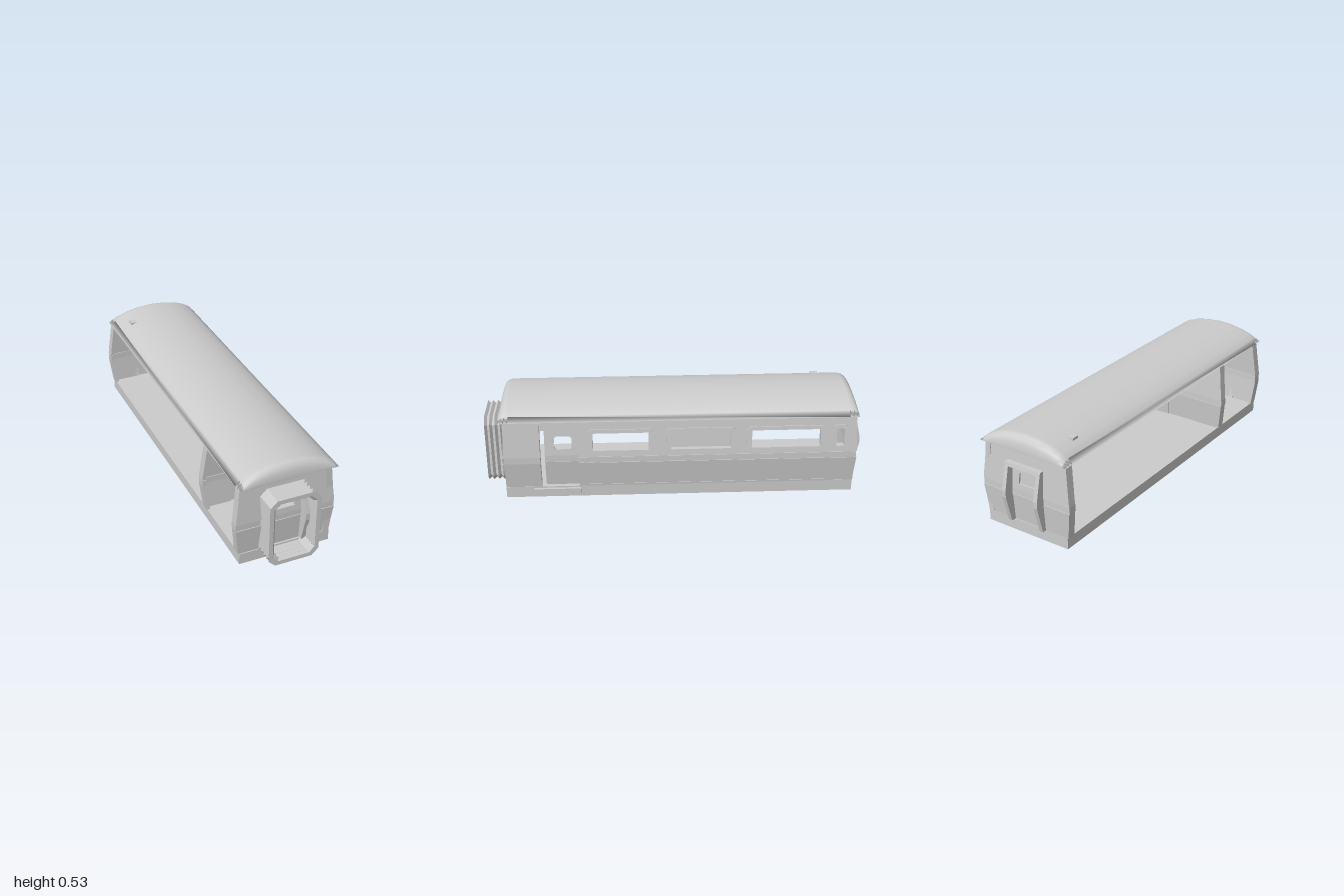
import * as THREE from 'three';
import { mergeGeometries } from 'three/addons/utils/BufferGeometryUtils.js';

const grey = new THREE.MeshStandardMaterial({ color: 0xcccccc, side: THREE.DoubleSide });

// Outward bulge of every wall by height
const PROFILE = [[0.06, 0], [0.205, 0.018], [0.24, 0.018], [0.445, -0.005]];
const STRIPS = [[0.06, 0.205], [0.205, 0.24], [0.24, 0.445]];
function bulge(y) {
  for (let i = 1; i < PROFILE.length; i++) {
    const [y0, b0] = PROFILE[i - 1], [y1, b1] = PROFILE[i];
    if (y <= y1) return b0 + (b1 - b0) * Math.max(0, (y - y0) / (y1 - y0));
  }
  return PROFILE[3][1];
}

function add(parent, name, geometry) {
  const m = new THREE.Mesh(geometry, grey);
  m.name = name;
  parent.add(m);
  return m;
}

function box(parent, name, x0, x1, y0, y1, z0, z1) {
  const g = new THREE.BoxGeometry(x1 - x0, y1 - y0, z1 - z0);
  g.translate((x0 + x1) / 2, (y0 + y1) / 2, (z0 + z1) / 2);
  return add(parent, name, g);
}

const polygon = pts => new THREE.Shape(pts.map(p => new THREE.Vector2(...p)));
const rect = (u0, u1, y0, y1) => [[u0, y0], [u1, y0], [u1, y1], [u0, y1]];
const octagon = (u0, u1, y0, y1, c) => [[u0 + c, y0], [u1 - c, y0], [u1, y0 + c], [u1, y1 - c],
  [u1 - c, y1], [u0 + c, y1], [u0, y1 - c], [u0, y0 + c]];

// Slab whose outer face lies at off and leans with the wall profile
function slab(shape, t, off, k) {
  const g = new THREE.ExtrudeGeometry(shape, { depth: t, bevelEnabled: false });
  const p = g.attributes.position;
  for (let i = 0; i < p.count; i++) p.setZ(i, p.getZ(i) - t + off + k * bulge(p.getY(i)));
  g.computeVertexNormals();
  return g;
}

// Upright panel made of lower, belt and upper strips; edges may vary with height
function panel(parent, name, u0, u1, { bottom = 0.06, top = 0.445, t = 0.025, off = 0, k = 1, holes = [], belt = 0.004 } = {}) {
  const f = (e, y) => (typeof e === 'function' ? e(y) : e);
  const parts = [];
  STRIPS.forEach(([a, b], i) => {
    const y0 = Math.max(a, bottom), y1 = Math.min(b, top);
    if (y1 <= y0) return;
    const s = polygon([[f(u0, y0), y0], [f(u1, y0), y0], [f(u1, y1), y1], [f(u0, y1), y1]]);
    if (i === 2) holes.forEach(h => s.holes.push(polygon(h)));
    parts.push(slab(s, t, off - (i === 1 ? belt : 0), k));
  });
  return add(parent, name, mergeGeometries(parts));
}

// Surface through a list of closed loops of points
function loft(loops, wrap) {
  const n = loops[0].length, idx = [], rows = wrap ? loops.length : loops.length - 1;
  for (let r = 0; r < rows; r++) for (let i = 0; i < n; i++) {
    const j = (i + 1) % n, q = ((r + 1) % loops.length) * n, p = r * n;
    idx.push(p + i, p + j, q + j, p + i, q + j, q + i);
  }
  const g = new THREE.BufferGeometry();
  g.setAttribute('position', new THREE.Float32BufferAttribute(loops.flat(2), 3));
  g.setIndex(idx);
  return g;
}

// Cross wall with a doorway; s = 1 faces the front, s = -1 the back
function crossWall(name, z, s, windowOpen) {
  const g = new THREE.Group();
  g.name = name;
  g.position.z = z;
  if (s < 0) g.rotation.y = Math.PI;
  const lo = y => -(0.25 + bulge(y)), hi = y => 0.24 + bulge(y);
  const left = s > 0 ? lo : y => -hi(y), right = s > 0 ? hi : y => -lo(y);
  const c = -0.007 * s, w = 0.097, k = 0.6;
  panel(g, 'wallLeft', left, c - w, { k });
  panel(g, 'wallRight', c + w, right, { k });
  panel(g, 'wallHeader', c - w, c + w, { bottom: 0.38, k });
  // Thick rim along the open side
  if (s > 0) panel(g, 'openEdgeRim', left, y => left(y) + 0.02, { t: 0.045, off: -0.001, k });
  else panel(g, 'openEdgeRim', y => right(y) - 0.02, right, { t: 0.045, off: -0.001, k });
  // Door leaf
  const win = [[c - 0.045, 0.27], [c + 0.052, 0.27], [c + 0.048, 0.33], [c - 0.041, 0.33]];
  panel(g, 'door', c - w, c + w, { top: 0.38, t: 0.014, off: -0.005, k, holes: [win] });
  if (!windowOpen) add(g, 'doorPane', slab(polygon(win), 0.004, -0.014, k));
  return g;
}

// Bowed frame around an end door
function doorFrame(g, s) {
  const c = -0.007 * s, o = { top: 0.385, t: 0.05, off: 0.022, k: 2, belt: 0 };
  panel(g, 'doorPostLeft', c - 0.107, c - 0.085, o);
  panel(g, 'doorPostRight', c + 0.085, c + 0.107, o);
  panel(g, 'doorLintel', c - 0.085, c + 0.085, { ...o, bottom: 0.365 });
}

export function createModel() {
  const root = new THREE.Group();
  root.name = 'carriage';
  box(root, 'floorBase', -0.245, 0.242, 0, 0.06, -0.945, 0.893);

  // Roof with rounded ends
  const arch = [[-0.261, 0], [-0.236, 0.026], [-0.205, 0.047], [-0.15, 0.068], [-0.078, 0.083], [0, 0.088],
    [0.078, 0.083], [0.15, 0.068], [0.205, 0.047], [0.236, 0.026], [0.261, 0]];
  const ends = [[0, 0, 1], [0, 0.2, 1], [0.004, 0.5, 1], [0.012, 0.75, 1], [0.028, 0.93, 1], [0.05, 1, 1]];
  const ring = (z, h) => arch.map(([x, y]) => [x + 0.004, 0.445 + y * h, z]);
  const roof = loft([...ends.map(([d, h]) => ring(0.91 - d, h)),
    ...ends.slice().reverse().map(([d, h]) => ring(-0.955 + d, h))], false);
  roof.computeVertexNormals();
  add(root, 'roof', roof);
  box(root, 'roofVent', -0.18, -0.145, 0.48, 0.513, -0.8, -0.76);

  // End walls and inner partition
  const front = crossWall('frontWall', 0.888, 1, true);
  const back = crossWall('backWall', -0.945, -1, false);
  doorFrame(front, 1);
  doorFrame(back, -1);
  root.add(front, back, crossWall('partition', 0.46, -1, false));

  // Folded gangway at the front
  const hoop = (z, d) => octagon(-0.142 + d, 0.127 - d, 0.027 + d, 0.408 - d, 0.036 - d * 0.3).map(p => [...p, z]);
  const folds = [];
  for (let i = 0; i <= 8; i++) folds.push(hoop(0.89 + i * 0.01375, i % 2 ? 0.012 : 0));
  for (let i = 8; i >= 0; i--) folds.push(hoop(0.89 + i * 0.01375, i % 2 ? 0.034 : 0.022));
  const bellows = loft(folds, true).toNonIndexed();
  bellows.computeVertexNormals();
  add(root, 'gangway', bellows);

  // Left side wall: local u runs towards the back
  const side = new THREE.Group();
  side.name = 'sideWall';
  side.position.x = 0.24;
  side.rotation.y = Math.PI / 2;
  root.add(side);
  const windows = [[-0.43, -0.14], [-0.02, 0.29], [0.4, 0.76], [0.845, 0.885]];
  panel(side, 'frontSidePanel', -0.893, -0.705, { t: 0.035, belt: 0 });
  panel(side, 'mainSidePanel', -0.505, 0.948, {
    t: 0.03, holes: windows.map(([a, b]) => rect(a, b, 0.275, 0.37)),
  });
  panel(side, 'beltRail', -0.505, 0.948, { bottom: 0.232, top: 0.24, t: 0.01, off: 0.003, belt: 0 });
  panel(side, 'sill', -0.505, 0.84, { bottom: 0.06, top: 0.07, t: 0.01, off: 0.003 });

  // Window frames; the second window is blank
  windows.forEach(([a, b], i) => {
    const m = i === 3 ? 0.014 : 0.028;
    const frame = polygon(octagon(a - m, b + m, 0.255, 0.39, m * 0.6));
    frame.holes.push(polygon(rect(a, b, 0.275, 0.37)));
    add(side, 'windowFrame', slab(frame, 0.012, 0.005, 1));
    if (i === 1) add(side, 'blankPane', slab(polygon(rect(a, b, 0.275, 0.37)), 0.005, -0.02, 1));
  });

  // Recessed side door, standing slightly open, and its step
  const doorWindow = octagon(-0.635, -0.54, 0.275, 0.345, 0.012);
  panel(side, 'sideDoor', -0.682, -0.505, { top: 0.38, t: 0.015, off: -0.022, holes: [doorWindow] });
  panel(side, 'sideDoorHeader', -0.705, -0.505, { bottom: 0.38, t: 0.015, off: -0.02 });
  box(root, 'step', 0.23, 0.257, 0.022, 0.052, 0.5, 0.745);
  return root;
}
